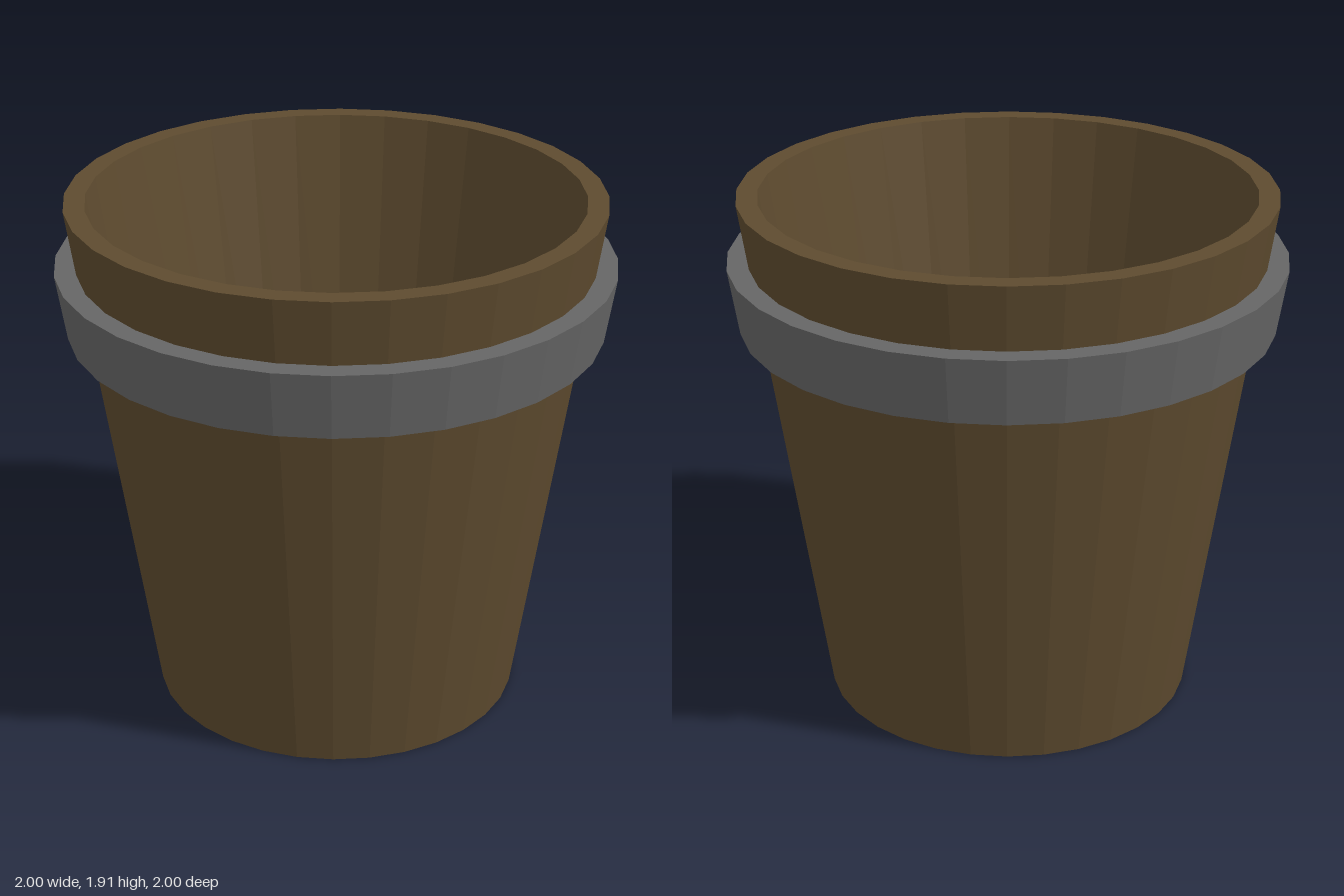
import * as THREE from 'three';

const SIDES = 32;

export function createModel() {
  const group = new THREE.Group();
  const brown = new THREE.MeshStandardMaterial({ color: 0x5e4b2f, flatShading: true });
  brown.name = 'brown wood';
  const grey = new THREE.MeshStandardMaterial({ color: 0x666666, flatShading: true });
  grey.name = 'grey metal';

  // Spins a [radius, height] profile around the y axis
  const addLathe = (name, profile, material) => {
    const points = profile.map(([r, y]) => new THREE.Vector2(r, y));
    const mesh = new THREE.Mesh(new THREE.LatheGeometry(points, SIDES), material);
    mesh.name = name;
    group.add(mesh);
  };

  // Tapered bucket: underside, outer wall, rim, inner wall, floor
  addLathe('bucket', [
    [0, 0], [0.675, 0], [0.957, 1.915], [0.882, 1.915], [0.618, 0.1], [0, 0.1],
  ], brown);

  // Raised band around the upper wall, sunk slightly into it
  addLathe('band', [
    [0.87, 1.44], [0.963, 1.44], [1, 1.68], [0.905, 1.68],
  ], grey);

  return group;
}
